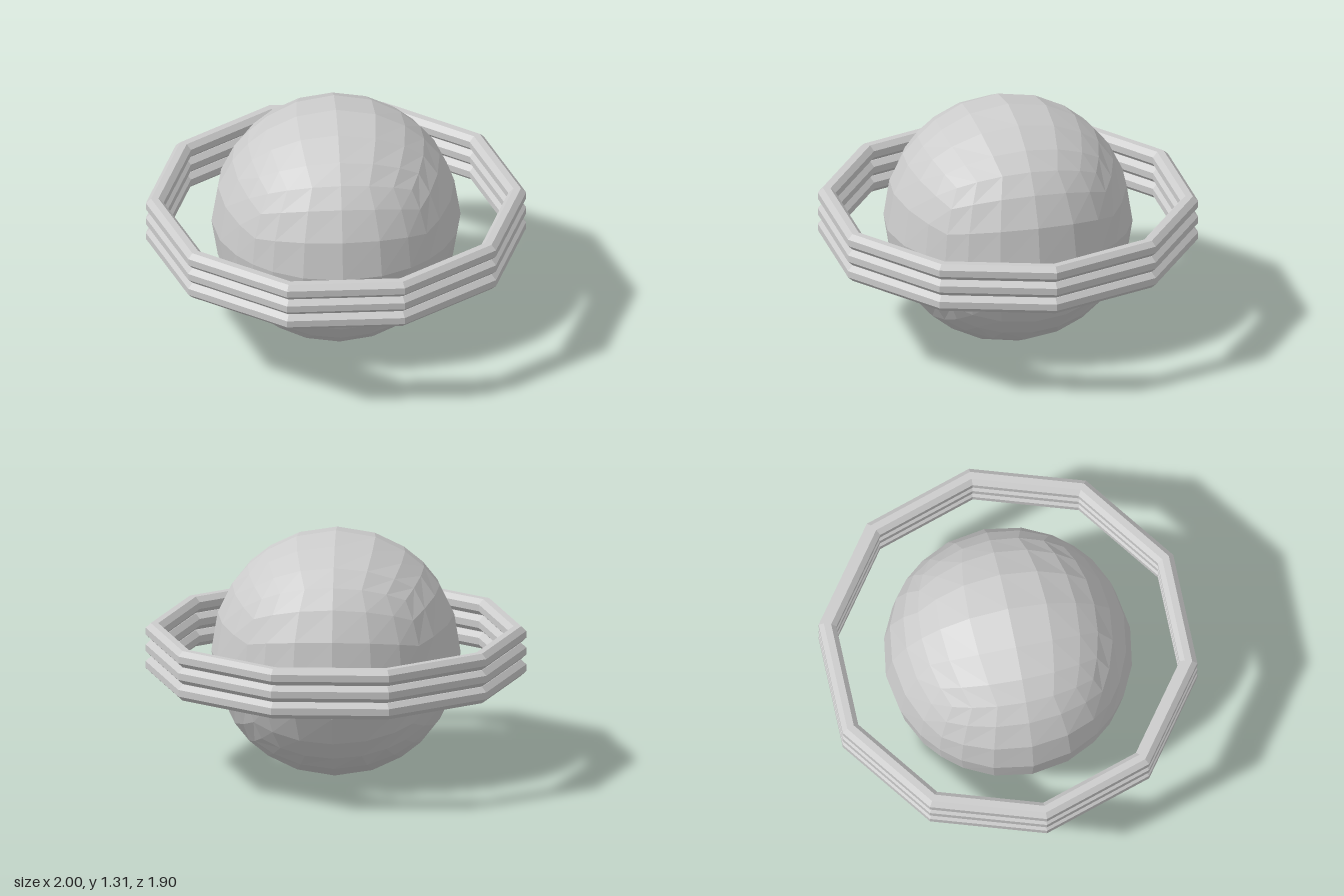
import * as THREE from 'three';

const material = new THREE.MeshStandardMaterial({ color: 0xcccccc, flatShading: true });

// Ball: a subdivided cube pushed out to a sphere
function makeBall(radius) {
  const geometry = new THREE.BoxGeometry(2, 2, 2, 6, 6, 6);
  const position = geometry.attributes.position;
  const v = new THREE.Vector3();
  for (let i = 0; i < position.count; i++) {
    v.fromBufferAttribute(position, i).setLength(radius);
    position.setXYZ(i, v.x, v.y, v.z);
  }
  geometry.computeVertexNormals();
  return new THREE.Mesh(geometry, material);
}

// Ring: eight-sided section swept round a decagon with corners on the x axis
function makeRing(outer, width, height) {
  const k = Math.cos(Math.PI / 8);
  const profile = [];
  for (let i = 0; i <= 8; i++) {
    const a = (i + 0.5) * Math.PI / 4;
    profile.push(new THREE.Vector2(
      outer - width / 2 + Math.cos(a) * width / 2 / k,
      Math.sin(a) * height / 2 / k
    ));
  }
  return new THREE.Mesh(new THREE.LatheGeometry(profile, 10, Math.PI / 2), material);
}

export function createModel() {
  const model = new THREE.Group();
  model.name = 'ringedPlanet';

  const ball = makeBall(0.655);
  ball.name = 'planetBall';
  ball.position.y = 0.655;
  model.add(ball);

  // Three stacked rings
  ['lowerRing', 'middleRing', 'upperRing'].forEach((name, i) => {
    const ring = makeRing(1, 0.094, 0.088);
    ring.name = name;
    ring.position.y = 0.664 + (i - 1) * 0.0905;
    model.add(ring);
  });

  return model;
}
